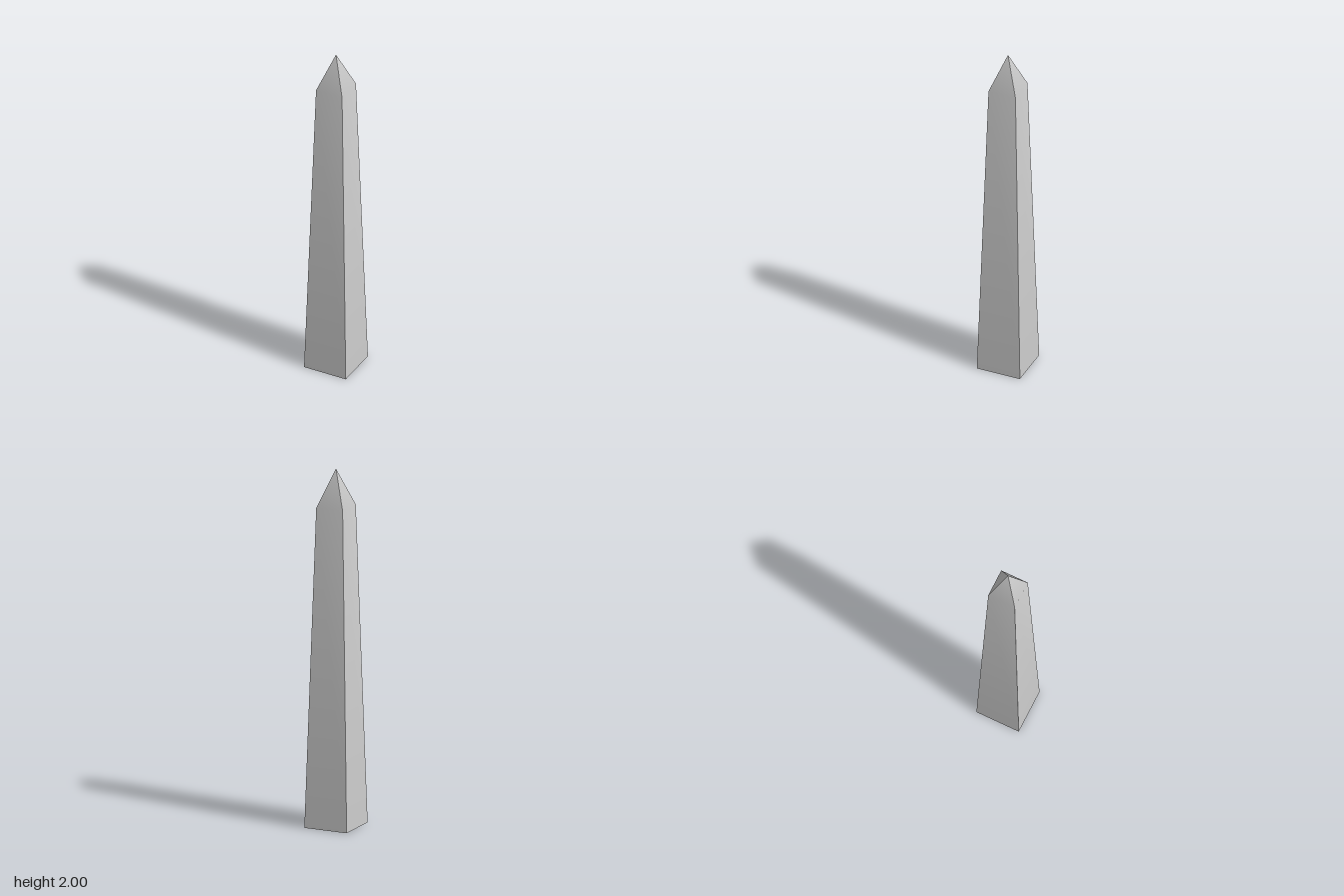
import * as THREE from 'three';
import { toCreasedNormals } from 'three/addons/utils/BufferGeometryUtils.js';

export function createModel() {
  const group = new THREE.Group();
  group.name = 'obelisk';

  // Half widths of the square section at each height
  const profile = [
    [0, 0],        // centre of the underside
    [0.128, 0],    // foot of the shaft
    [0.08, 1.79],  // shoulder below the pointed cap
    [0, 2],        // tip
  ].map(([half, y]) => new THREE.Vector2(half * Math.SQRT2, y));

  // Four-sided tapering shaft with its pyramid cap; the soft shoulder blends, the corners stay sharp
  const lathe = new THREE.LatheGeometry(profile, 4, Math.PI / 4);
  const geometry = toCreasedNormals(lathe, Math.PI / 6);
  const material = new THREE.MeshStandardMaterial({ color: 0xcccccc });

  const shaft = new THREE.Mesh(geometry, material);
  shaft.name = 'shaftAndCap';
  group.add(shaft);
  return group;
}
